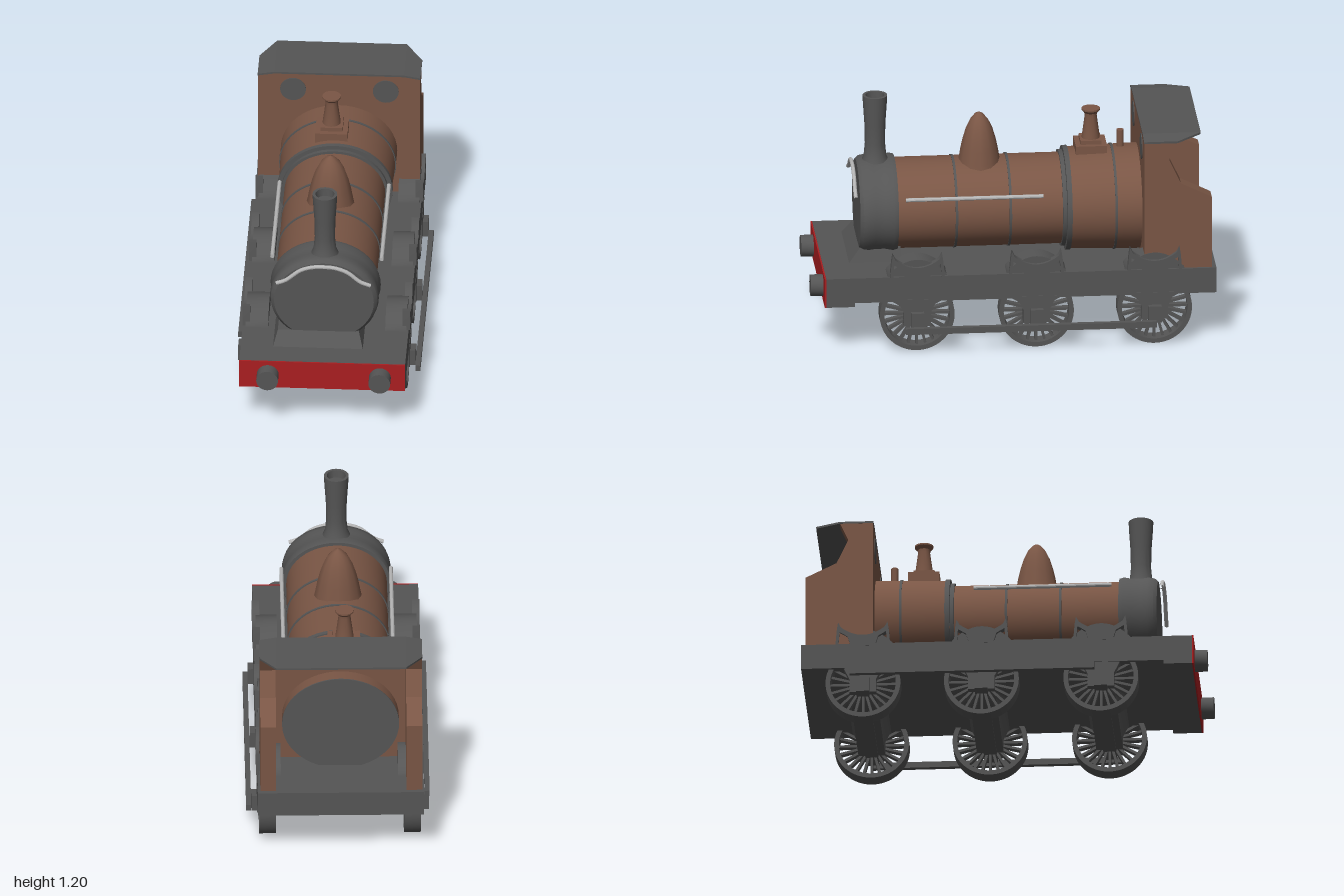
import * as THREE from 'three';
import { toCreasedNormals } from 'three/addons/utils/BufferGeometryUtils.js';

const CX = -0.016; // centre line of the body
const AXIS = 0.63; // height of the boiler axis
const AXLES = [0.48, -0.11, -0.695];

function paint(name, color) {
  const m = new THREE.MeshStandardMaterial({ color });
  m.name = name;
  return m;
}

export function createModel() {
  const root = new THREE.Group();
  root.name = 'locomotive';
  const brown = paint('brown paint', 0x7a5645);
  const grey = paint('dark grey metal', 0x555555);
  const red = paint('red paint', 0xaa1e20);
  const steel = paint('bright steel', 0xb4b4b4);

  const add = (name, geo, mat, x = 0, y = 0, z = 0, parent = root) => {
    const mesh = new THREE.Mesh(toCreasedNormals(geo, 0.6), mat);
    mesh.name = name;
    mesh.position.set(x, y, z);
    parent.add(mesh);
    return mesh;
  };
  // box given by its limits
  const box = (name, mat, x0, x1, y0, y1, z0, z1, parent = root) =>
    add(name, new THREE.BoxGeometry(x1 - x0, y1 - y0, z1 - z0), mat,
      (x0 + x1) / 2, (y0 + y1) / 2, (z0 + z1) / 2, parent);
  // turned part from [radius, height] points
  const turned = (pts, sides) =>
    new THREE.LatheGeometry(pts.map(([r, h]) => new THREE.Vector2(r, h)), sides);
  // slightly oval barrel lying along z, from [radius, z] points
  const barrel = (name, mat, pts) =>
    add(name, turned(pts, 48).rotateX(Math.PI / 2).scale(1.12, 1, 1), mat, CX, AXIS, 0);
  // side profile in (z, y) extruded across x
  const across = (shape, x0, x1) =>
    new THREE.ExtrudeGeometry(shape, { depth: x1 - x0, bevelEnabled: false, curveSegments: 12 })
      .rotateY(-Math.PI / 2).translate(x1, 0, 0);
  const poly = (pts) => new THREE.Shape(pts.map(([a, b]) => new THREE.Vector2(a, b)));

  // footplate, buffer beam and buffers
  box('footplate', grey, -0.424, 0.395, 0.26, 0.39, -1, 0.93);
  box('bufferBeam', grey, -0.424, 0.395, 0.24, 0.388, 0.79, 0.931);
  box('bufferBeamFace', red, -0.424, 0.395, 0.24, 0.39, 0.931, 0.938);
  for (const x of [-0.283, 0.271])
    add('buffer', new THREE.CylinderGeometry(0.054, 0.054, 0.07, 24).rotateX(Math.PI / 2), grey, x, 0.315, 0.965);

  // boiler, firebox, smokebox and bands
  barrel('boiler', brown, [[0, -0.3], [0.222, -0.3], [0.222, 0.58], [0, 0.58]]);
  barrel('firebox', brown, [[0, -0.735], [0.258, -0.735], [0.256, -0.6], [0.247, -0.28], [0, -0.28]]);
  barrel('backhead', grey, [[0, -0.742], [0.258, -0.742], [0.258, -0.735], [0, -0.735]]);
  barrel('smokebox', grey, [[0, 0.558], [0.238, 0.558], [0.243, 0.58], [0.236, 0.62], [0.236, 0.67],
    [0.24, 0.7], [0.235, 0.73], [0.22, 0.747], [0, 0.75]]);
  for (const [z, r, w] of [[0.27, 0.227, 0.012], [0.003, 0.227, 0.012], [-0.265, 0.235, 0.02],
    [-0.288, 0.254, 0.024], [-0.518, 0.258, 0.012]])
    barrel('boilerBand', grey, [[0, z - w / 2], [r, z - w / 2], [r, z + w / 2], [0, z + w / 2]]);

  // saddle with a sloping front and sides
  const saddle = new THREE.BoxGeometry(0.445, 0.07, 0.26);
  const sp = saddle.attributes.position;
  for (let i = 0; i < sp.count; i++) {
    if (sp.getY(i) < 0) continue;
    sp.setX(i, sp.getX(i) * 0.9);
    if (sp.getZ(i) > 0) sp.setZ(i, 0.075);
  }
  saddle.computeVertexNormals();
  add('saddle', saddle, grey, -0.043, 0.422, 0.672);

  // chimney with a hollow top
  add('chimney', turned([[0.075, 0.84], [0.056, 0.885], [0.05, 0.95], [0.052, 1.05], [0.06, 1.17], [0.061, 1.2],
    [0.047, 1.2], [0.044, 1.16], [0, 1.16]], 28), grey, CX, 0, 0.655);

  // steam dome
  add('steamDome', turned([[0.112, 0.8], [0.102, 0.85], [0.092, 0.91], [0.081, 0.96], [0.066, 1.01], [0.045, 1.055],
    [0.02, 1.085], [0, 1.096]], 12).scale(1.1, 1, 1), brown, CX, 0, 0.14);

  // safety valve and whistle
  box('valveBase', brown, -0.118, 0.042, 0.84, 0.915, -0.49, -0.335);
  box('valveSeat', brown, -0.093, 0.017, 0.9, 0.935, -0.465, -0.36);
  add('safetyValve', turned([[0.046, 0.92], [0.044, 0.945], [0.03, 1.05], [0.032, 1.065], [0.046, 1.08],
    [0.046, 1.088], [0, 1.088]], 20), brown, -0.04, 0, -0.415);
  add('whistle', new THREE.CylinderGeometry(0.018, 0.018, 0.13, 16), brown, -0.04, 0.905, -0.56);

  // cab walls
  const front = poly([[-0.415, 0.39], [0.382, 0.39], [0.382, 1.055], [0.302, 1.068], [-0.335, 1.068], [-0.415, 1.055]]);
  add('cabFront', new THREE.ExtrudeGeometry(front, { depth: 0.02, bevelEnabled: false }), brown, 0, 0, -0.665);
  const side = poly([[-0.65, 0.39], [-0.65, 1.055], [-0.81, 1.055], [-0.767, 0.96], [-0.825, 0.835],
    [-0.978, 0.76], [-0.978, 0.39]]);
  add('cabSideRight', across(side, -0.416, -0.338), brown);
  add('cabSideLeft', across(side, 0.305, 0.383), brown);
  for (const x of [-0.243, 0.215])
    add('cabWindow', new THREE.CylinderGeometry(0.064, 0.064, 0.028, 24).rotateX(Math.PI / 2), grey, x, 0.975, -0.655);

  // cab roof: flat middle with two drooping wings
  box('cabRoof', grey, -0.337, 0.304, 1.062, 1.072, -0.93, -0.643);
  for (const s of [-1, 1]) {
    const wing = new THREE.ExtrudeGeometry(
      poly([[s * 0.32, 0.643], [s * 0.402, 0.643], [s * 0.402, 0.81], [s * 0.32, 0.93]]),
      { depth: 0.01, bevelEnabled: false }).rotateX(-Math.PI / 2);
    const p = wing.attributes.position;
    for (let i = 0; i < p.count; i++) if (Math.abs(p.getX(i)) > 0.36) p.setY(i, p.getY(i) - 0.014);
    wing.computeVertexNormals();
    add('roofWing', wing, grey, CX, 1.062, 0);
  }

  // handrails
  for (const x of [-0.283, 0.257])
    add('sideHandrail', new THREE.CylinderGeometry(0.01, 0.01, 0.68, 12).rotateX(Math.PI / 2), steel, x, 0.742, 0.185);
  const railPts = [[-0.25, 0.742], [-0.205, 0.76], [-0.13, 0.82], [-0.07, 0.84], [CX, 0.843], [0.04, 0.838],
    [0.1, 0.815], [0.165, 0.762], [0.215, 0.742]].map(([x, y]) => new THREE.Vector3(x, y, 0.768));
  add('frontHandrail', new THREE.TubeGeometry(new THREE.CatmullRomCurve3(railPts), 40, 0.01, 10), steel);

  // splasher and spring profiles
  const splasher = new THREE.Shape();
  splasher.moveTo(-0.15, 0.38);
  splasher.lineTo(-0.145, 0.4);
  splasher.quadraticCurveTo(0, 0.55, 0.145, 0.4);
  splasher.lineTo(0.15, 0.38);
  const spring = new THREE.Shape();
  spring.moveTo(-0.122, 0.508);
  spring.lineTo(-0.108, 0.48);
  spring.quadraticCurveTo(0, 0.395, 0.108, 0.48);
  for (const [z, y] of [[0.122, 0.508], [0.128, 0.47], [0.135, 0.39], [0.12, 0.39], [0.115, 0.455], [0.075, 0.43],
    [0.06, 0.38], [-0.06, 0.38], [-0.075, 0.43], [-0.115, 0.455], [-0.12, 0.39], [-0.135, 0.39], [-0.128, 0.47]])
    spring.lineTo(z, y);
  const axleBox = poly([[-0.1, 0.27], [0.1, 0.27], [0.066, 0.2], [0.066, 0.13], [-0.066, 0.13], [-0.066, 0.2]]);

  // spoked wheel centred on its axle, axis along x
  const rim = new THREE.Shape().absarc(0, 0, 0.185, 0, Math.PI * 2);
  rim.holes.push(new THREE.Path().absarc(0, 0, 0.162, 0, Math.PI * 2, true));
  const rimGeo = new THREE.ExtrudeGeometry(rim, { depth: 0.082, bevelEnabled: false, curveSegments: 40 })
    .rotateY(-Math.PI / 2).translate(0.041, 0, 0);
  const makeWheel = (x, z) => {
    const wheel = new THREE.Group();
    wheel.name = 'wheel';
    wheel.position.set(x, 0.185, z);
    add('rim', rimGeo, grey, 0, 0, 0, wheel);
    add('hub', new THREE.CylinderGeometry(0.06, 0.06, 0.07, 24).rotateZ(Math.PI / 2), grey, 0, 0, 0, wheel);
    for (let i = 0; i < 24; i++)
      add('spoke', new THREE.BoxGeometry(0.03, 0.12, 0.013).translate(0, 0.108, 0)
        .rotateX((i / 24) * Math.PI * 2), grey, 0, 0, 0, wheel);
    root.add(wheel);
  };

  for (const z of AXLES) {
    add('axleBox', across(axleBox, -0.42, 0.397), grey, 0, 0, z);
    box('crank', grey, -0.452, 0.424, 0.12, 0.205, z - 0.032, z + 0.032);
    for (const s of [-1, 1]) {
      makeWheel(-0.012 + s * 0.357, z);
      const [a, b] = s < 0 ? [-0.41, -0.298] : [0.28, 0.385];
      add('splasher', across(splasher, a, b), grey, 0, 0, z);
      const [c, d] = s < 0 ? [-0.425, -0.388] : [0.365, 0.402];
      add('spring', across(spring, c, d), grey, 0, 0, z);
    }
  }

  // coupling rods, a quarter turn apart
  box('couplingRodRight', grey, -0.455, -0.43, 0.215, 0.247, -0.76, 0.45);
  box('couplingRodLeft', grey, 0.424, 0.449, 0.104, 0.135, -0.7, 0.54);
  return root;
}
